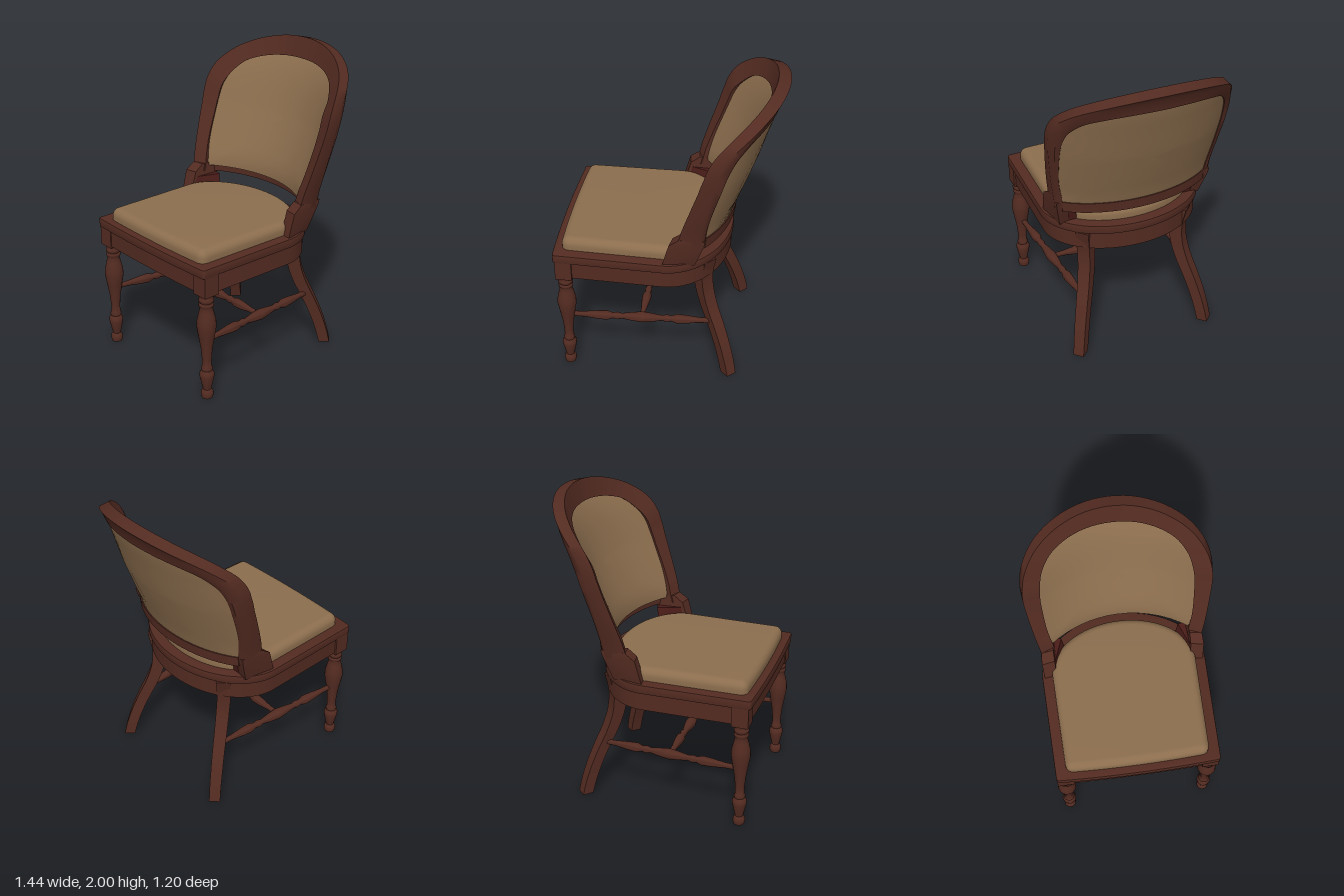
import * as THREE from 'three';
import { mergeVertices, toCreasedNormals } from 'three/addons/utils/BufferGeometryUtils.js';

const wood = new THREE.MeshStandardMaterial({ color: 0x532b21 });
wood.name = 'mahogany wood';
const darkWood = new THREE.MeshStandardMaterial({ color: 0x4a1c18 });
darkWood.name = 'dark maroon wood';
const fabric = new THREE.MeshStandardMaterial({ color: 0x8c6e4e });
fabric.name = 'tan upholstery';

const V = (x, y, z) => new THREE.Vector3(x, y, z);

function part(parent, name, geometry, material) {
  const mesh = new THREE.Mesh(geometry, material);
  mesh.name = name;
  parent.add(mesh);
  return mesh;
}

// Closed skin over equal-sized rings of points, capped at both ends
function loft(rings, crease = 0.6) {
  const n = rings[0].length, pts = rings.flat(), idx = [];
  for (let i = 0; i < rings.length - 1; i++) {
    for (let j = 0; j < n; j++) {
      const a = i * n + j, b = i * n + (j + 1) % n;
      idx.push(a, b, b + n, a, b + n, a + n);
    }
  }
  const last = (rings.length - 1) * n;
  for (let j = 1; j < n - 1; j++) idx.push(0, j + 1, j, last, last + j, last + j + 1);
  // Turn the skin outward if its volume is negative
  let vol = 0;
  const c = V(0, 0, 0);
  for (let i = 0; i < idx.length; i += 3) {
    vol += pts[idx[i]].dot(c.crossVectors(pts[idx[i + 1]], pts[idx[i + 2]]));
  }
  if (vol < 0) idx.reverse();
  const g = new THREE.BufferGeometry().setFromPoints(pts);
  g.setIndex(idx);
  return toCreasedNormals(g, crease);
}

// Plan of the seat: bowed front with round corners, slightly flared sides, elliptical rear
function seatPlan(front, half, rear, bow, r, path = new THREE.Shape()) {
  const h = half - 0.01;
  path.moveTo(front + r, -h);
  path.lineTo(0, -half);
  path.absellipse(0, 0, rear, half, -Math.PI / 2, Math.PI / 2, false, 0);
  path.lineTo(front + r, h);
  path.quadraticCurveTo(front, h, front, h - r);
  path.quadraticCurveTo(front - bow, 0, front, r - h);
  path.quadraticCurveTo(front, -h, front + r, -h);
  return path;
}

function slab(shape, y0, y1, bevel, segments) {
  const g = new THREE.ExtrudeGeometry(shape, {
    depth: y1 - y0 - 2 * bevel, curveSegments: 32, bevelEnabled: bevel > 0,
    bevelThickness: bevel, bevelSize: bevel, bevelOffset: -bevel, bevelSegments: segments,
  });
  g.rotateX(Math.PI / 2).translate(0, y1 - bevel, 0);
  g.deleteAttribute('uv');
  g.deleteAttribute('normal');
  return toCreasedNormals(mergeVertices(g, 1e-4), 0.7);
}

function turned(points) {
  return toCreasedNormals(new THREE.LatheGeometry(points.map(p => new THREE.Vector2(p[0], p[1])), 20), 0.9);
}

// Rear centre line of the reclining back, and its curved surface
const SPINE = [[0.9, 0.39], [1.05, 0.402], [1.18, 0.435], [1.5, 0.553], [1.71, 0.617], [1.86, 0.67], [2.02, 0.716]];
function backX(z, y) {
  let i = 0;
  while (i < SPINE.length - 2 && y > SPINE[i + 1][0]) i++;
  const [y0, x0] = SPINE[i], [y1, x1] = SPINE[i + 1];
  const bow = 0.44 * (1 - Math.sqrt(Math.max(0, 1 - (z / 0.66) ** 2)));
  return x0 + (x1 - x0) * (y - y0) / (y1 - y0) - bow;
}

// Symmetric arch from half of its (z, y) points
function arch(half) {
  const right = half.slice(0, -1).reverse().map(([z, y]) => V(-z, y, 0));
  return new THREE.CatmullRomCurve3([...half.map(([z, y]) => V(z, y, 0)), ...right]);
}
const OUTER = arch([[0.53, 1.06], [0.54, 1.14], [0.562, 1.28], [0.584, 1.45], [0.598, 1.6], [0.594, 1.69],
  [0.567, 1.785], [0.492, 1.872], [0.37, 1.937], [0.19, 1.985], [0, 2]]);
const INNER = arch([[0.487, 1.06], [0.495, 1.14], [0.52, 1.27], [0.533, 1.42], [0.537, 1.55], [0.529, 1.64],
  [0.505, 1.715], [0.44, 1.79], [0.33, 1.833], [0.17, 1.859], [0, 1.865]]);

function buildBack(chair) {
  const back = new THREE.Group();
  back.name = 'backrest';
  chair.add(back);

  // Arched frame with an eased rear edge
  const rings = [];
  for (let i = 0; i <= 80; i++) {
    const o = OUTER.getPoint(i / 80), n = INNER.getPoint(i / 80), m = o.clone().lerp(n, 0.45);
    const depth = 0.068 + 0.12 * Math.max(0, 1.6 - o.y);
    const drop = 0.02 * Math.max(0, (o.y - 1.7) / 0.3);
    const front = backX(o.x, o.y) - depth, innerFront = backX(n.x, n.y) - depth;
    rings.push([
      V(backX(n.x, m.y) - 0.004, m.y, m.x),
      V(backX(o.x, o.y) + 0.01, o.y - drop, o.x),
      V(front, o.y, o.x * 0.985),
      V(Math.min(innerFront, front + 0.035), n.y, n.x * 0.9),
      V(backX(n.x, n.y), n.y, n.x),
    ]);
  }
  part(back, 'backFrame', loft(rings, 0.95), wood);

  // Padded panel, thicker toward the bottom, skinned from rear centre round the edge to front centre
  const outline = [];
  for (let i = 0; i <= 48; i++) {
    const p = INNER.getPoint(0.04 + 0.92 * i / 48);
    outline.push([p.x, Math.max(p.y, 1.1)]);
  }
  for (let i = 0; i < 15; i++) outline.push([-0.48 + 0.96 * i / 14, 1.09]);
  const padRing = (s, front) => outline.map(([z0, y0]) => {
    const z = z0 * s, y = 1.47 + (y0 - 1.47) * s, puff = 1 - s ** 6;
    const thick = 0.04 + 0.06 * (1.9 - y) + 0.15 * z * z + 0.02 * puff;
    return V(backX(z, y) - (front ? thick : 0.008 - 0.008 * puff), y, z);
  });
  const steps = [0.02, 0.2, 0.4, 0.6, 0.75, 0.86, 0.94, 1];
  part(back, 'backPanel', loft([...steps.map(s => padRing(s, false)),
    ...steps.slice().reverse().map(s => padRing(s, true))]), fabric);

  // Curved bottom rail
  const rail = [];
  for (let i = 0; i <= 28; i++) {
    const z = -0.49 + 0.98 * i / 28, x = backX(z, 1.07) + 0.004;
    rail.push([V(x, 1.04, z), V(x + 0.008, 1.112, z), V(x - 0.06, 1.112, z * 0.94), V(x - 0.06, 1.04, z * 0.94)]);
  }
  part(back, 'bottomRail', loft(rail), wood);

  // Stepped feet joining the frame to the seat, with dark blocks on their inner sides
  const foot = [
    [0.9, [0, 0.53], [0.205, 0.49], [0.2, 0.43], [0.01, 0.45]],
    [1.065, [0.045, 0.535], [0.262, 0.525], [0.255, 0.44], [0.06, 0.45]],
    [1.11, [0.11, 0.53], [0.272, 0.53], [0.265, 0.445], [0.12, 0.45]],
  ].map(([y, ...q]) => q.map(([x, z]) => V(x, y, z)));
  const block = [
    [0.9, [0.02, 0.455], [0.2, 0.455], [0.2, 0.37], [0.1, 0.425]],
    [1.03, [0.05, 0.455], [0.235, 0.455], [0.225, 0.39], [0.12, 0.43]],
  ].map(([y, ...q]) => q.map(([x, z]) => V(x, y, z)));
  for (const side of [1, -1]) {
    const label = side > 0 ? 'left' : 'right';
    part(back, label + 'FrameFoot', loft(foot), wood).scale.z = side;
    part(back, label + 'FootBlock', loft(block), darkWood).scale.z = side;
  }
}

function buildSeat(chair) {
  part(chair, 'seatRim', slab(seatPlan(-0.703, 0.547, 0.4, 0.028, 0.025), 0.855, 0.915, 0.006, 2), wood);
  const apron = seatPlan(-0.68, 0.53, 0.388, 0.02, 0.02);
  apron.holes.push(seatPlan(-0.62, 0.465, 0.32, 0.01, 0.02, new THREE.Path()));
  part(chair, 'apron', slab(apron, 0.735, 0.858, 0, 1), wood);
  const ledge = seatPlan(-0.625, 0.47, 0.325, 0.01, 0.02);
  ledge.holes.push(seatPlan(-0.56, 0.4, 0.26, 0.01, 0.02, new THREE.Path()));
  part(chair, 'innerLedge', slab(ledge, 0.81, 0.857, 0, 1), darkWood);
  part(chair, 'seatCushion', slab(seatPlan(-0.657, 0.478, 0.33, 0.02, 0.06), 0.86, 0.995, 0.05, 8), fabric);
}

const FRONT_LEG = [[0.001, 0], [0.034, 0], [0.04, 0.02], [0.038, 0.045], [0.026, 0.06], [0.032, 0.085], [0.046, 0.15],
  [0.047, 0.175], [0.033, 0.195], [0.038, 0.21], [0.03, 0.225], [0.03, 0.27], [0.037, 0.35], [0.052, 0.44], [0.062, 0.5],
  [0.06, 0.545], [0.047, 0.6], [0.039, 0.635], [0.047, 0.645], [0.047, 0.66], [0.04, 0.667], [0.048, 0.678],
  [0.048, 0.692], [0.042, 0.7], [0.052, 0.74]];

// Turned bar between two points
const BEADS = [[0, 0.016], [0.1, 0.018], [0.2, 0.028], [0.26, 0.031], [0.3, 0.019], [0.33, 0.025], [0.36, 0.018],
  [0.43, 0.028], [0.5, 0.036]];
function stretcher(parent, name, a, b) {
  const dir = b.clone().sub(a), len = dir.length();
  const beads = [...BEADS, ...BEADS.slice(0, -1).reverse().map(([t, r]) => [1 - t, r])];
  const bar = part(parent, name, turned(beads.map(([t, r]) => [r, t * len])), wood);
  bar.position.copy(a);
  bar.quaternion.setFromUnitVectors(V(0, 1, 0), dir.normalize());
}

function buildLegs(chair) {
  // Sabre rear leg: diamond sections along a gentle curve
  const path = new THREE.CatmullRomCurve3([V(0.262, 0.856, 0.345), V(0.243, 0.73, 0.331), V(0.254, 0.6, 0.332),
    V(0.29, 0.47, 0.354), V(0.337, 0.35, 0.386), V(0.382, 0.22, 0.418), V(0.415, 0.1, 0.441), V(0.435, 0, 0.456)]);
  const sabre = [];
  for (let i = 0; i <= 28; i++) {
    const p = path.getPoint(i / 28), r = 0.051 + 0.016 * p.y;
    sabre.push([V(p.x + r, p.y, p.z), V(p.x, p.y, p.z + r), V(p.x - r, p.y, p.z), V(p.x, p.y, p.z - r)]);
  }
  for (const side of [1, -1]) {
    const label = side > 0 ? 'left' : 'right';
    part(chair, label + 'RearLeg', loft(sabre), wood).scale.z = side;
    part(chair, label + 'FrontLeg', turned(FRONT_LEG), wood).position.set(-0.635, 0, 0.48 * side);
    part(chair, label + 'LegBlock', new THREE.BoxGeometry(0.108, 0.135, 0.108), wood).position.set(-0.635, 0.79, 0.48 * side);
    stretcher(chair, label + 'Stretcher', V(-0.625, 0.405, 0.478 * side), V(0.33, 0.373, 0.385 * side));
  }
  stretcher(chair, 'crossStretcher', V(-0.15, 0.389, -0.432), V(-0.15, 0.389, 0.432));
}

export function createModel() {
  const chair = new THREE.Group();
  chair.name = 'sideChair';
  buildSeat(chair);
  buildBack(chair);
  buildLegs(chair);
  return chair;
}
